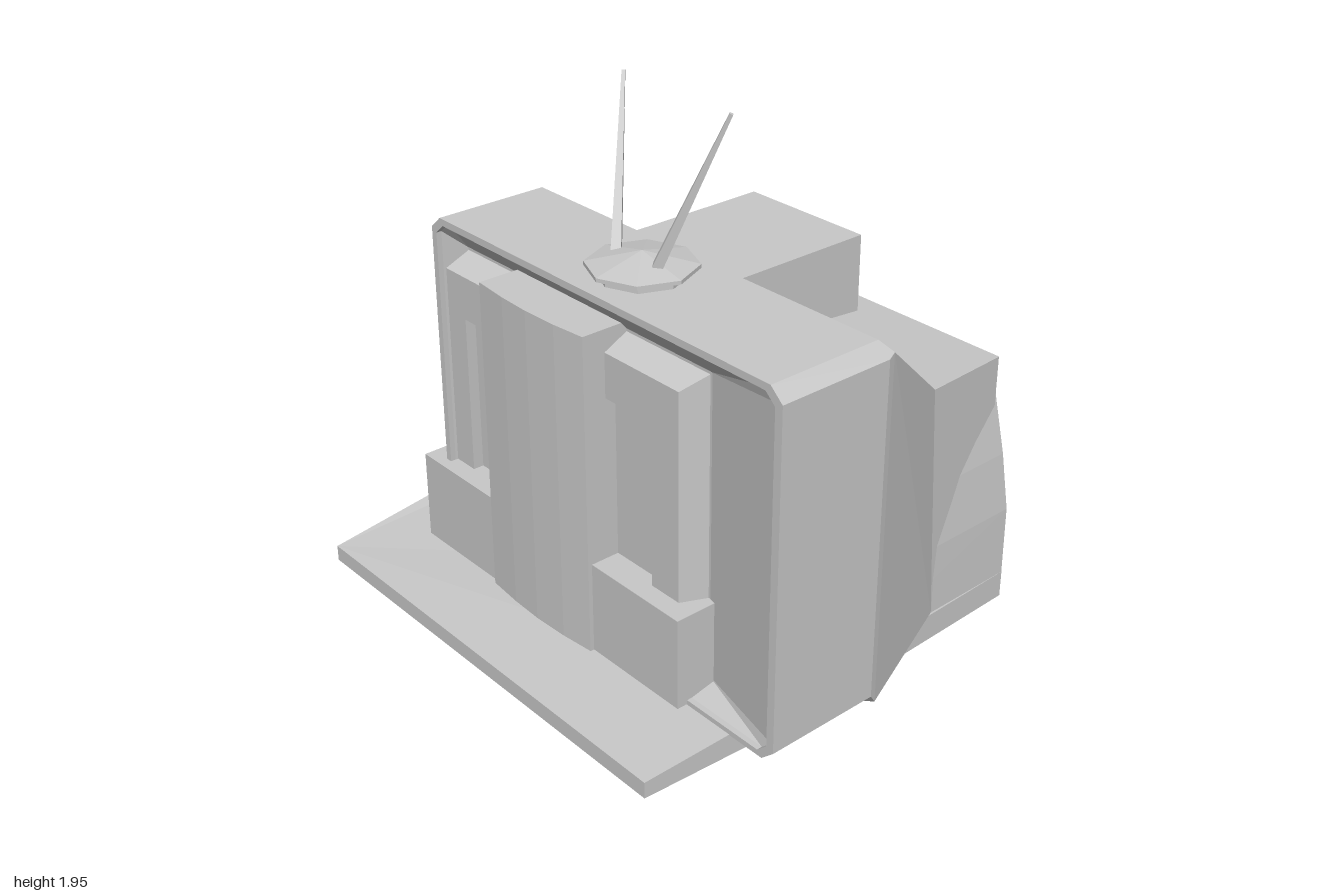
import * as THREE from 'three';

const grey = new THREE.MeshStandardMaterial({ color: 0xc8c8c8 });
grey.name = 'light grey';

function addMesh(group, name, geometry) {
  let g = geometry.index ? geometry.toNonIndexed() : geometry;
  g.computeVertexNormals();
  const mesh = new THREE.Mesh(g, grey);
  mesh.name = name;
  group.add(mesh);
  return mesh;
}

// Skin a list of equal-length rings and cap both ends, with flat facets
function loft(rings) {
  const pos = [];
  const tri = (...pts) => pts.forEach((p) => pos.push(...p));
  const n = rings[0].length;
  for (let r = 0; r < rings.length - 1; r++) {
    const a = rings[r], b = rings[r + 1];
    for (let i = 0; i < n; i++) {
      const j = (i + 1) % n;
      tri(a[i], a[j], b[j]);
      tri(a[i], b[j], b[i]);
    }
  }
  const first = rings[0], last = rings[rings.length - 1];
  for (let i = 1; i < n - 1; i++) {
    tri(first[0], first[i + 1], first[i]);
    tri(last[0], last[i], last[i + 1]);
  }
  const g = new THREE.BufferGeometry();
  g.setAttribute('position', new THREE.Float32BufferAttribute(pos, 3));
  return g;
}

// Upright rectangle with cut corners; zLow lets the lower edge sit at another depth
function octagon(x0, x1, y0, y1, cut, z, zLow = z) {
  const c = cut, d = cut * 0.9;
  return [
    [x0 + c, y0, zLow], [x1 - c, y0, zLow], [x1, y0 + d, zLow], [x1, y1 - d, z],
    [x1 - c, y1, z], [x0 + c, y1, z], [x0, y1 - d, z], [x0, y0 + d, zLow],
  ];
}

const rectangle = (x0, x1, y0, y1, z) => [[x0, y0, z], [x1, y0, z], [x1, y1, z], [x0, y1, z]];

function box(group, name, x0, x1, y0, y1, z0, z1) {
  const mesh = addMesh(group, name, new THREE.BoxGeometry(x1 - x0, y1 - y0, z1 - z0));
  mesh.position.set((x0 + x1) / 2, (y0 + y1) / 2, (z0 + z1) / 2);
}

// Thin four-sided rod between two points
function rod(group, name, from, to, r0, r1) {
  const a = new THREE.Vector3(...from), b = new THREE.Vector3(...to);
  const dir = b.clone().sub(a);
  const mesh = addMesh(group, name, new THREE.CylinderGeometry(r1, r0, dir.length(), 4));
  mesh.position.copy(a).add(b).multiplyScalar(0.5);
  mesh.quaternion.setFromUnitVectors(new THREE.Vector3(0, 1, 0), dir.normalize());
}

export function createModel() {
  const model = new THREE.Group();
  model.name = 'televisionBuilding';

  // Ground slab, ramping down to the front
  const plan = [[-0.97, 0.83, 0.06], [0.785, 0.83, 0.06], [0.82, 0.24, 0.1],
    [0.785, -0.83, 0.1], [-0.97, -0.83, 0.12], [-1, 0.24, 0.12]];
  addMesh(model, 'groundSlab', loft([
    plan.map(([x, z]) => [x, 0, z]),
    plan.map(([x, z, y]) => [x, y, z]),
  ]));

  // Rear building, leaning inward as it rises
  addMesh(model, 'rearBuilding', loft([
    [[-1, 0.01, 0.24], [0.8, 0.01, 0.24], [0.785, 0.01, -0.83], [-0.97, 0.01, -0.83]],
    [[-0.985, 0.36, 0.215], [0.79, 0.36, 0.215], [0.782, 0.36, -0.83], [-0.965, 0.36, -0.83]],
    [[-0.96, 0.58, 0.19], [0.77, 0.58, 0.19], [0.76, 0.58, -0.81], [-0.94, 0.58, -0.81]],
    [[-0.915, 0.98, 0.15], [0.71, 0.98, 0.15], [0.7, 0.95, -0.775], [-0.88, 0.95, -0.775]],
  ]));
  box(model, 'sidePanel', -0.84, -0.6, 0.22, 0.88, 0, 0.2);

  // Television shell: tapered back, chamfered case, rim and sloping screen recess
  addMesh(model, 'televisionShell', loft([
    octagon(-0.46, 0.73, 0.55, 0.952, 0.001, -0.78),
    octagon(-0.51, 0.79, 0.1, 0.985, 0.001, -0.39, -0.45),
    octagon(-0.69, 0.99, 0.085, 1.335, 0.001, 0.04),
    octagon(-0.705, 1, 0.08, 1.37, 0.05, 0.07),
    octagon(-0.705, 1, 0.08, 1.37, 0.05, 0.5),
    octagon(-0.68, 0.97, 0.1, 1.345, 0.04, 0.5),
    octagon(-0.68, 0.97, 0.1, 1.345, 0.04, 0.48),
    octagon(-0.67, 0.58, 0.12, 1.225, 0.001, 0.38),
  ]));

  // Bevelled screen surround with a sunken window
  addMesh(model, 'screenSurround', loft([
    rectangle(-0.68, 0.58, 0.12, 1.225, 0.36),
    rectangle(-0.68, 0.53, 0.12, 1.17, 0.47),
    rectangle(-0.58, 0.4, 0.2, 1.01, 0.47),
    rectangle(-0.58, 0.4, 0.2, 1.01, 0.43),
  ]));

  // Low front block and the tall core running front to back
  box(model, 'frontBlock', -0.785, 0.605, 0.085, 0.42, 0.18, 0.54);
  const core = [[-0.36, 0.555], [-0.22, 0.568], [-0.09, 0.573], [0.05, 0.568],
    [0.18, 0.555], [0.18, -0.67], [-0.36, -0.67]];
  addMesh(model, 'centralCore', loft([0.085, 1.25].map((y) => core.map(([x, z]) => [x, y, z]))));

  // Aerial: eight-sided foot with two slanted rods
  const profile = [[0.15, 1.36], [0.15, 1.395], [0.185, 1.397], [0.185, 1.41], [0, 1.452]];
  const foot = addMesh(model, 'aerialFoot',
    new THREE.LatheGeometry(profile.map(([x, y]) => new THREE.Vector2(x, y)), 8));
  foot.position.set(0.145, 0, 0.285);
  rod(model, 'aerialRightRod', [0.035, 1.4, 0.3], [-0.135, 1.93, 0.12], 0.024, 0.008);
  rod(model, 'aerialLeftRod', [0.22, 1.4, 0.3], [0.43, 1.945, 0.178], 0.024, 0.008);

  return model;
}
